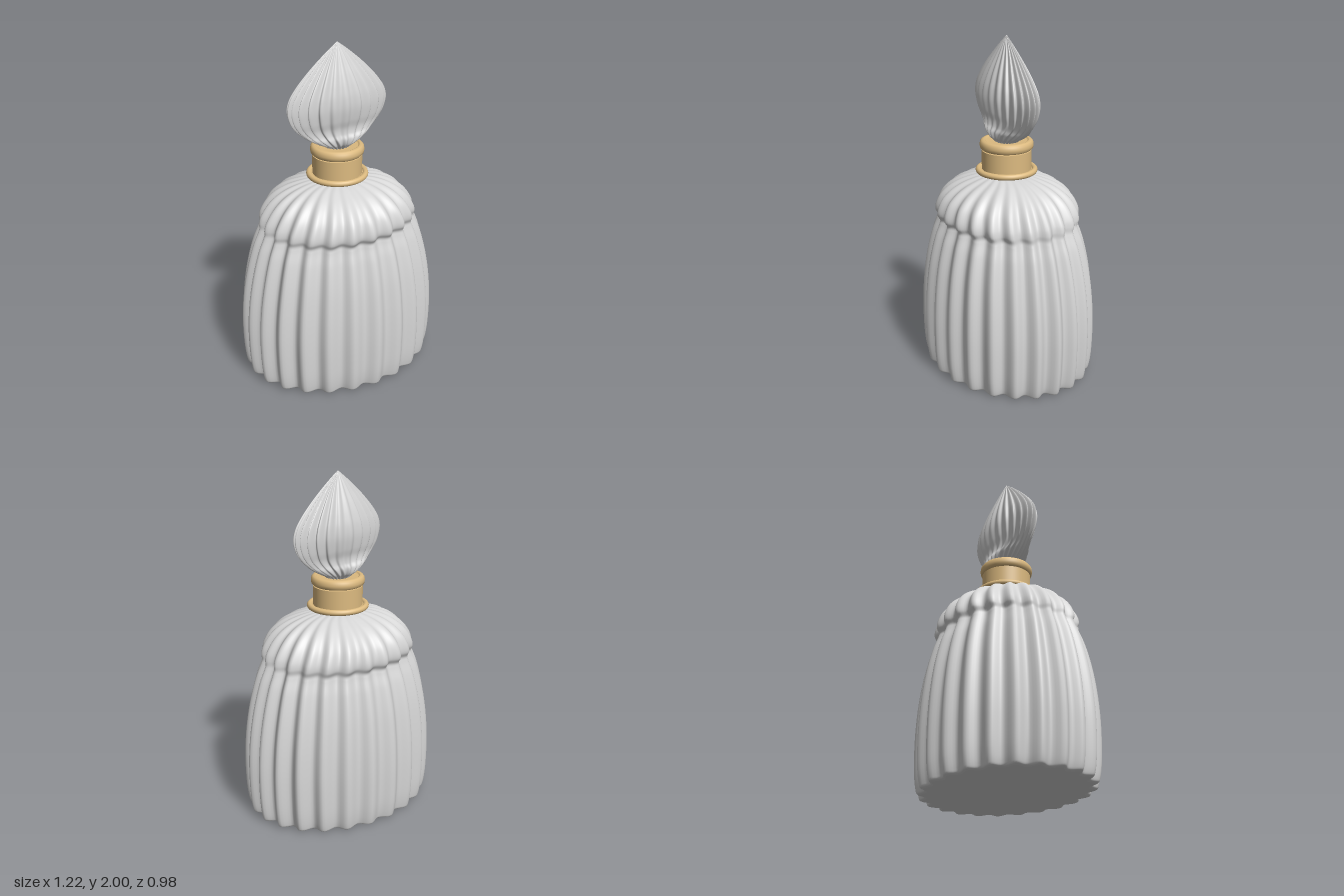
import * as THREE from 'three';

const glass = new THREE.MeshStandardMaterial({ color: 0xd6d6d6 });
glass.name = 'frosted glass';
const gold = new THREE.MeshStandardMaterial({ color: 0xdcba80 });
gold.name = 'pale gold';

const FLUTES = 24;
const SEGMENTS = FLUTES * 10;

// Fluted oval solid. Profile entries are [y, half width, half depth] at the flute crests.
function flutedSolid(name, profile, rows, depth) {
  const curve = new THREE.CatmullRomCurve3(
    profile.map(([y, rx, rz]) => new THREE.Vector3(rx, y, rz)), false, 'centripetal');
  const rings = curve.getPoints(rows);
  // flat underside, with its own edge so the rim stays crisp
  const base = rings[0];
  rings.unshift(new THREE.Vector3(0, base.y, 0), base.clone());

  const positions = [];
  const index = [];
  rings.forEach((ring, r) => {
    for (let i = 0; i < SEGMENTS; i++) {
      const a = (i / SEGMENTS) * Math.PI * 2;
      const k = 1 - depth * (1 - Math.cos(a * FLUTES)) / 2;
      positions.push(Math.max(ring.x, 0) * k * Math.cos(a), ring.y, Math.max(ring.z, 0) * k * Math.sin(a));
      if (r === 0 || r === 2) continue;
      const j = (i + 1) % SEGMENTS;
      const lo = (r - 1) * SEGMENTS;
      const hi = r * SEGMENTS;
      index.push(lo + i, hi + i, lo + j, lo + j, hi + i, hi + j);
    }
  });
  const geometry = new THREE.BufferGeometry();
  geometry.setAttribute('position', new THREE.Float32BufferAttribute(positions, 3));
  geometry.setIndex(index);
  geometry.computeVertexNormals();
  const mesh = new THREE.Mesh(geometry, glass);
  mesh.name = name;
  return mesh;
}

function addMesh(group, name, geometry, material, y) {
  const mesh = new THREE.Mesh(geometry, material);
  mesh.name = name;
  mesh.position.y = y;
  group.add(mesh);
  return mesh;
}

export function createModel() {
  const model = new THREE.Group();
  model.name = 'perfumeBottle';

  // bottle: swelling skirt, slight waist and a domed shoulder
  model.add(flutedSolid('bottleBody', [
    [0, 0.565, 0.45], [0.008, 0.583, 0.467], [0.03, 0.592, 0.474], [0.1, 0.603, 0.484],
    [0.22, 0.61, 0.489], [0.36, 0.609, 0.488], [0.52, 0.594, 0.478], [0.68, 0.564, 0.457],
    [0.82, 0.525, 0.424], [0.9, 0.492, 0.396], [0.925, 0.483, 0.391], [0.955, 0.482, 0.407],
    [0.99, 0.472, 0.407], [1.05, 0.435, 0.384], [1.1, 0.387, 0.339], [1.14, 0.325, 0.277],
    [1.17, 0.245, 0.2], [1.185, 0.17, 0.145], [1.19, 0.12, 0.12], [1.192, 0, 0],
  ], 120, 0.075));

  // collar
  const collar = new THREE.Group();
  collar.name = 'collar';
  model.add(collar);
  addMesh(collar, 'neck', new THREE.CylinderGeometry(0.125, 0.125, 0.2, 64), glass, 1.28);
  addMesh(collar, 'collarBand', new THREE.CylinderGeometry(0.145, 0.145, 0.132, 64), gold, 1.272);
  addMesh(collar, 'collarBaseRing', new THREE.TorusGeometry(0.164, 0.017, 16, 72).rotateX(Math.PI / 2), gold, 1.217);
  addMesh(collar, 'collarBaseDisc', new THREE.CylinderGeometry(0.165, 0.165, 0.02, 64), gold, 1.215);
  const lip = [[0, 0], [0.13, 0], [0.145, 0.003], [0.154, 0.012], [0.157, 0.028], [0.154, 0.046],
    [0.145, 0.056], [0.132, 0.06], [0.124, 0.056], [0.12, 0.048], [0, 0.048]];
  addMesh(collar, 'collarLip', new THREE.LatheGeometry(lip.map(([x, y]) => new THREE.Vector2(x, y)), 72), gold, 1.341);

  // flattened bud stopper
  model.add(flutedSolid('stopper', [
    [1.385, 0.07, 0.065], [1.4, 0.09, 0.078], [1.42, 0.13, 0.097], [1.455, 0.19, 0.105],
    [1.485, 0.228, 0.094], [1.52, 0.266, 0.093], [1.57, 0.3, 0.106], [1.64, 0.318, 0.115],
    [1.7, 0.304, 0.111], [1.76, 0.264, 0.097], [1.82, 0.21, 0.077], [1.88, 0.148, 0.053],
    [1.94, 0.078, 0.028], [1.98, 0.027, 0.01], [2, 0, 0],
  ], 90, 0.12));

  return model;
}
